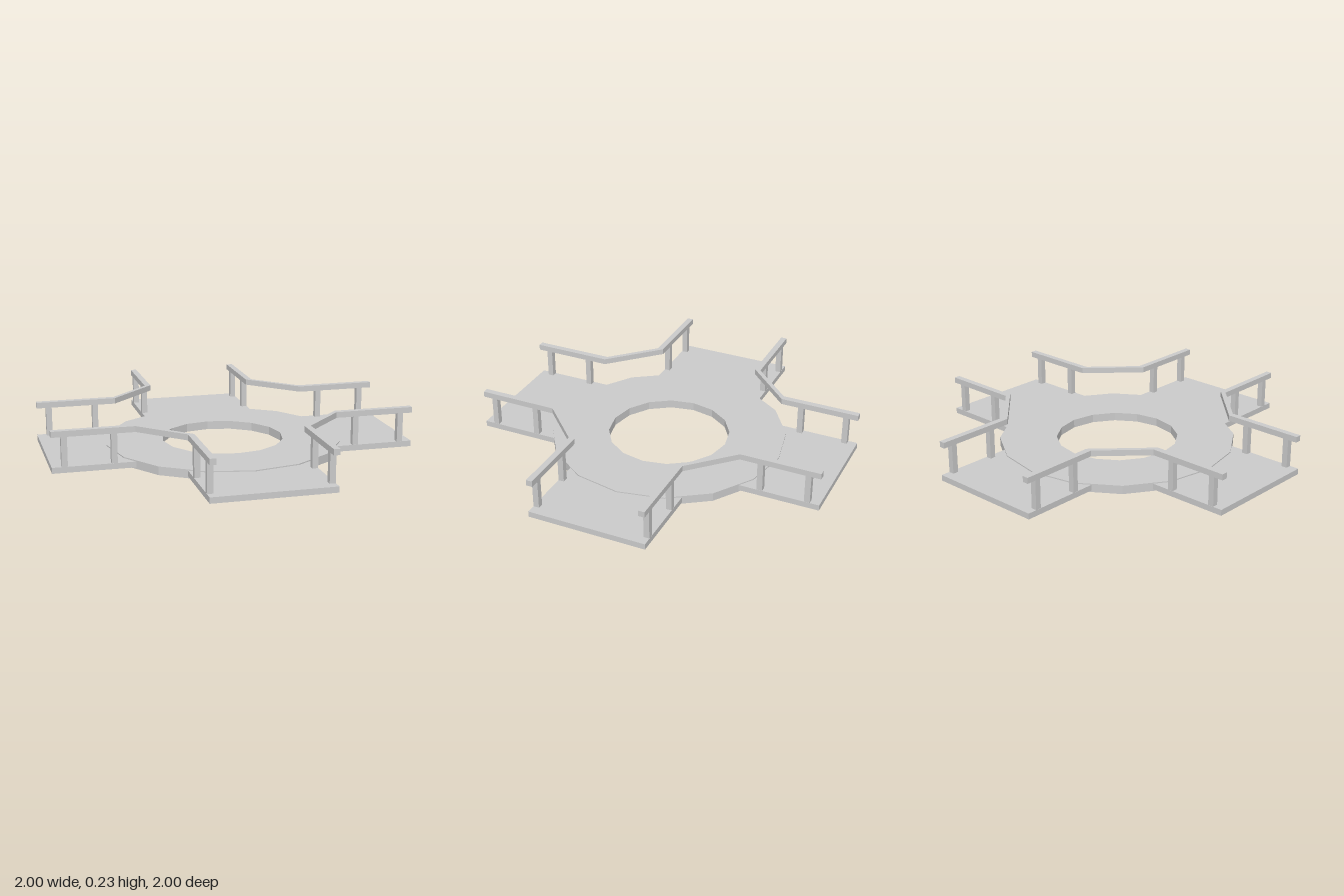
import * as THREE from 'three';

const material = new THREE.MeshStandardMaterial({ color: 0xcccccc, flatShading: true });

function part(name, geometry, x = 0, y = 0, z = 0) {
  const mesh = new THREE.Mesh(geometry, material);
  mesh.name = name;
  mesh.position.set(x, y, z);
  return mesh;
}

// Extrudes a plan outline (x, z) upwards from y = 0
function slab(shape, height) {
  const geometry = new THREE.ExtrudeGeometry(shape, { depth: height, bevelEnabled: false });
  return geometry.rotateX(-Math.PI / 2);
}

function polygon(radius, sides) {
  return Array.from({ length: sides }, (_, i) => {
    const a = (i / sides) * Math.PI * 2;
    return new THREE.Vector2(Math.cos(a) * radius, Math.sin(a) * radius);
  });
}

export function createModel() {
  const model = new THREE.Group();
  model.name = 'railedCrossing';

  const OUT = 0.33;    // outer side of rails and walkways
  const IN = 0.296;    // inner side of rails
  const BEND = 0.556;  // where a rail turns onto the diagonal
  const MID = (OUT + IN) / 2;

  // Sixteen-sided ring floor
  const ring = new THREE.Shape(polygon(0.658, 16));
  ring.holes.push(new THREE.Path(polygon(0.34, 16)));
  model.add(part('ringFloor', slab(ring, 0.047)));

  // Bent handrail outline for one corner
  const railShape = new THREE.Shape([
    [1, IN], [1, OUT], [BEND, OUT], [OUT, BEND], [OUT, 1],
    [IN, 1], [IN, BEND], [BEND, IN],
  ].map(([x, y]) => new THREE.Vector2(x, y)));
  const railGeometry = slab(railShape, 0.032);
  const postGeometry = new THREE.BoxGeometry(0.032, 0.165, 0.032);
  const walkwayGeometry = new THREE.BoxGeometry(0.48, 0.032, OUT * 2);

  // Each quarter: one walkway, one corner handrail and its four posts
  for (let i = 0; i < 4; i++) {
    const quarter = new THREE.Group();
    quarter.name = `quarter${i + 1}`;
    quarter.rotation.y = (i * Math.PI) / 2;
    quarter.add(part('walkway', walkwayGeometry, 0.76, 0.025, 0));
    quarter.add(part('handrail', railGeometry, 0, 0.202, 0));
    for (const d of [0.67, 0.932]) {
      quarter.add(part('railPost', postGeometry, d, 0.121, -MID));
      quarter.add(part('railPost', postGeometry, MID, 0.121, -d));
    }
    model.add(quarter);
  }
  return model;
}
